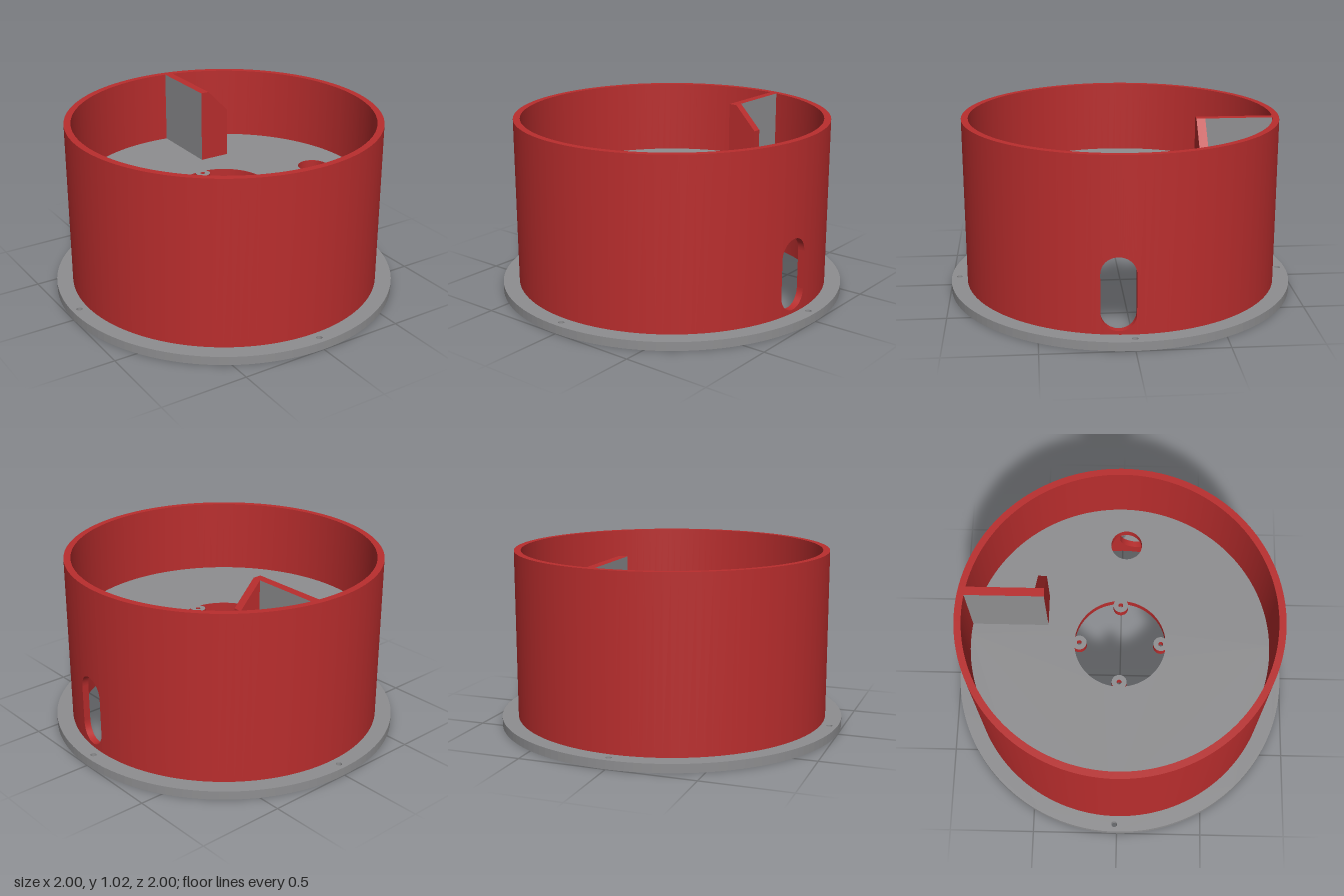
import * as THREE from 'three';

const red = new THREE.MeshStandardMaterial({ color: 0xb92d2d });
const grey = new THREE.MeshStandardMaterial({ color: 0x8e8e90 });
const liner = new THREE.MeshStandardMaterial({ color: 0xb92d2d, side: THREE.DoubleSide });

const FLANGE_H = 0.05, TOP = 1.02, R_IN = 0.867, R_OUT = 0.906;
const PLATE_LOW = 0.54, PLATE_TOP = 0.588;
const SLOT = { z: 0.08, r: 0.095, low: 0.165, high: 0.385 };

function add(parent, name, geometry, material) {
  const mesh = new THREE.Mesh(geometry, material);
  mesh.name = name;
  parent.add(mesh);
  return mesh;
}

function circle(x, y, r, Type = THREE.Path) {
  return new Type().absarc(x, y, r, 0, Math.PI * 2, false);
}

// Flat shape laid on the ground and raised by height
function slab(shape, y, height) {
  const g = new THREE.ExtrudeGeometry(shape, { depth: height, bevelEnabled: false, curveSegments: 64 });
  return g.rotateX(-Math.PI / 2).translate(0, y, 0);
}

// Box bent round the axis: angle(t, r), low(t) and high(t) with t from 0 to 1
function bentWall(segments, angle, low, high) {
  const g = new THREE.BoxGeometry(1, 1, 1, segments, 1, 1);
  const p = g.attributes.position;
  for (let i = 0; i < p.count; i++) {
    const t = 0.5 - p.getX(i);
    const r = p.getZ(i) > 0 ? R_OUT : R_IN;
    const a = angle(t, r);
    p.setXYZ(i, r * Math.cos(a), p.getY(i) > 0 ? high(t) : low(t), r * Math.sin(a));
  }
  g.computeVertexNormals();
  return g;
}

// Central opening with four round screw tabs reaching into it
function tabbedOpening(R, c, tab) {
  const path = new THREE.Path();
  const b = Math.acos((R * R + c * c - tab * tab) / (2 * R * c));
  const g = Math.atan2(R * Math.sin(b), R * Math.cos(b) - c);
  for (let k = 0; k < 4; k++) {
    const a = k * Math.PI / 2, n = a + Math.PI / 2;
    path.absarc(0, 0, R, a + b, n - b, false);
    path.absarc(c * Math.cos(n), c * Math.sin(n), tab, n - g, n + g - Math.PI * 2, true);
  }
  return path;
}

export function createModel() {
  const model = new THREE.Group();
  model.name = 'flangedHousing';

  // Base flange with four screw holes
  const flange = circle(0, 0, 1, THREE.Shape);
  flange.holes.push(circle(0, 0, R_IN + 0.001));
  for (const [x, y] of [[0.955, 0], [0, 0.957], [-0.955, 0.015], [0, -0.955]]) {
    flange.holes.push(circle(x, y, 0.017));
  }
  add(model, 'flange', slab(flange, 0, FLANGE_H), grey);
  add(model, 'flangeLiner', new THREE.CylinderGeometry(R_IN, R_IN, FLANGE_H, 128, 1, true)
    .translate(0, FLANGE_H / 2, 0), liner);

  // Round wall, interrupted by an upright slot on the left side
  const wall = new THREE.Group();
  wall.name = 'wall';
  model.add(wall);
  const s = SLOT;
  const start = r => Math.asin((s.z + s.r) / r);
  const end = r => Math.PI * 2 + Math.asin((s.z - s.r) / r);
  const slotAngle = (t, r) => Math.asin((s.z + s.r * Math.sin((t - 0.5) * Math.PI)) / r);
  const arch = t => s.r * Math.cos((t - 0.5) * Math.PI);
  const base = () => FLANGE_H, rim = () => TOP;
  add(wall, 'mainWall', bentWall(128, (t, r) => start(r) + t * (end(r) - start(r)), base, rim), red);
  add(wall, 'wallAboveSlot', bentWall(24, slotAngle, t => s.high + arch(t), rim), red);
  add(wall, 'wallBelowSlot', bentWall(24, slotAngle, base, t => s.low - arch(t)), red);

  // Inner mounting plate: red body with a grey upper face
  const plate = circle(0, 0, R_IN + 0.003, THREE.Shape);
  plate.holes.push(tabbedOpening(0.265, 0.237, 0.043));
  for (const [x, y] of [[0.237, 0], [0, 0.237], [-0.237, 0], [0, -0.237]]) {
    plate.holes.push(circle(x, y, 0.014));
  }
  plate.holes.push(circle(0.628, -0.027, 0.092));
  add(model, 'mountingPlate', slab(plate, PLATE_LOW, PLATE_TOP - PLATE_LOW - 0.001), red);
  add(model, 'plateTopFace', new THREE.ShapeGeometry(plate, 64)
    .rotateX(-Math.PI / 2).translate(0, PLATE_TOP, 0), grey);

  // Upright partition with grey sides, joined to the back of the wall
  const h = TOP - PLATE_TOP, zFront = -0.42, zBack = -0.872;
  add(model, 'partition', new THREE.BoxGeometry(0.05, h, zFront - zBack)
    .translate(0.13, PLATE_TOP + h / 2, (zFront + zBack) / 2), [grey, grey, red, red, red, red]);

  // Partition foot with a sloping top
  const foot = new THREE.Shape([
    [0.155, PLATE_TOP], [0.29, PLATE_TOP], [0.29, 0.88], [0.155, TOP],
  ].map(([x, y]) => new THREE.Vector2(x, y)));
  add(model, 'partitionFoot', new THREE.ExtrudeGeometry(foot, { depth: 0.05, bevelEnabled: false })
    .translate(0, 0, zFront - 0.05), red);

  return model;
}
